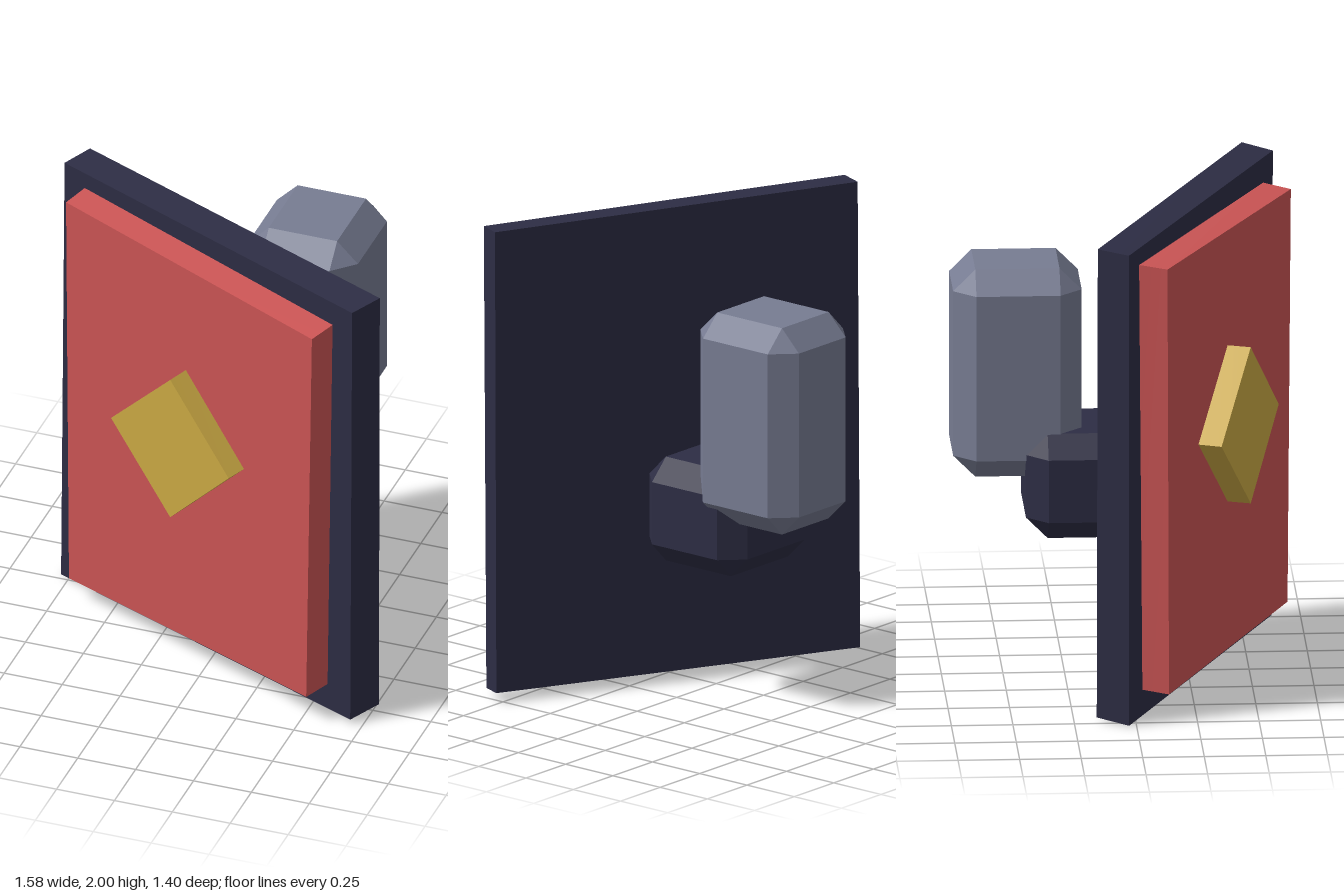
import * as THREE from 'three';
import { ConvexGeometry } from 'three/addons/geometries/ConvexGeometry.js';

const material = (name, color) => {
  const m = new THREE.MeshStandardMaterial({ color });
  m.name = name;
  return m;
};

// Box whose eight corners are moved: front and back each run
// top left, top right, bottom right, bottom left.
function plate(front, back) {
  const geo = new THREE.BoxGeometry(2, 2, 2);
  const p = geo.attributes.position;
  for (let i = 0; i < p.count; i++) {
    const right = p.getX(i) > 0;
    const corner = p.getY(i) > 0 ? (right ? 1 : 0) : (right ? 2 : 3);
    p.setXYZ(i, ...(p.getZ(i) > 0 ? front : back)[corner]);
  }
  geo.computeVertexNormals();
  return geo;
}

// Box with every edge and corner cut off flat
function chamferedBox(w, h, d, c) {
  const points = [];
  for (const x of [-1, 1]) for (const y of [-1, 1]) for (const z of [-1, 1]) {
    for (let axis = 0; axis < 3; axis++) {
      const half = [w / 2 - c, h / 2 - c, d / 2 - c];
      half[axis] += c;
      points.push(new THREE.Vector3(x * half[0], y * half[1], z * half[2]));
    }
  }
  return new ConvexGeometry(points);
}

export function createModel() {
  const model = new THREE.Group();
  const navy = material('navy', 0x2d2d44);
  const red = material('red', 0xcc5555);
  const gold = material('gold', 0xccaa44);
  const grey = material('grey', 0x777c92);

  const add = (name, geo, mat, x = 0, y = 0, z = 0) => {
    const mesh = new THREE.Mesh(geo, mat);
    mesh.name = name;
    mesh.position.set(x, y, z);
    model.add(mesh);
  };

  // Angled shield: backing board, raised panel and diamond emblem
  add('shieldBoard', plate(
    [[-0.775, 1.985, -0.03], [0.71, 1.985, 0.635], [0.7, 0.025, 0.63], [-0.79, 0.003, -0.03]],
    [[-0.71, 1.995, -0.153], [0.785, 2, 0.513], [0.78, 0.045, 0.51], [-0.72, 0.02, -0.158]],
  ), navy);
  add('shieldPanel', plate(
    [[-0.71, 1.905, 0.13], [0.56, 1.865, 0.7], [0.53, 0.13, 0.685], [-0.695, 0.105, 0.137]],
    [[-0.67, 1.915, 0.015], [0.612, 1.88, 0.585], [0.585, 0.14, 0.575], [-0.65, 0.115, 0.024]],
  ), red);
  add('diamondEmblem', plate(
    [[-0.43, 1.07, 0.365], [-0.125, 1.4, 0.5], [0.175, 1.07, 0.63], [-0.125, 0.74, 0.5]],
    [[-0.39, 1.07, 0.27], [-0.09, 1.4, 0.405], [0.21, 1.07, 0.54], [-0.09, 0.74, 0.405]],
  ), gold);

  // Fist behind the shield, with the forearm rising from it
  add('fist', chamferedBox(0.535, 0.44, 0.52, 0.088), navy, 0.112, 0.81, -0.15);
  add('forearm', chamferedBox(0.475, 0.875, 0.522, 0.09), grey, 0.167, 1.266, -0.44);

  return model;
}
